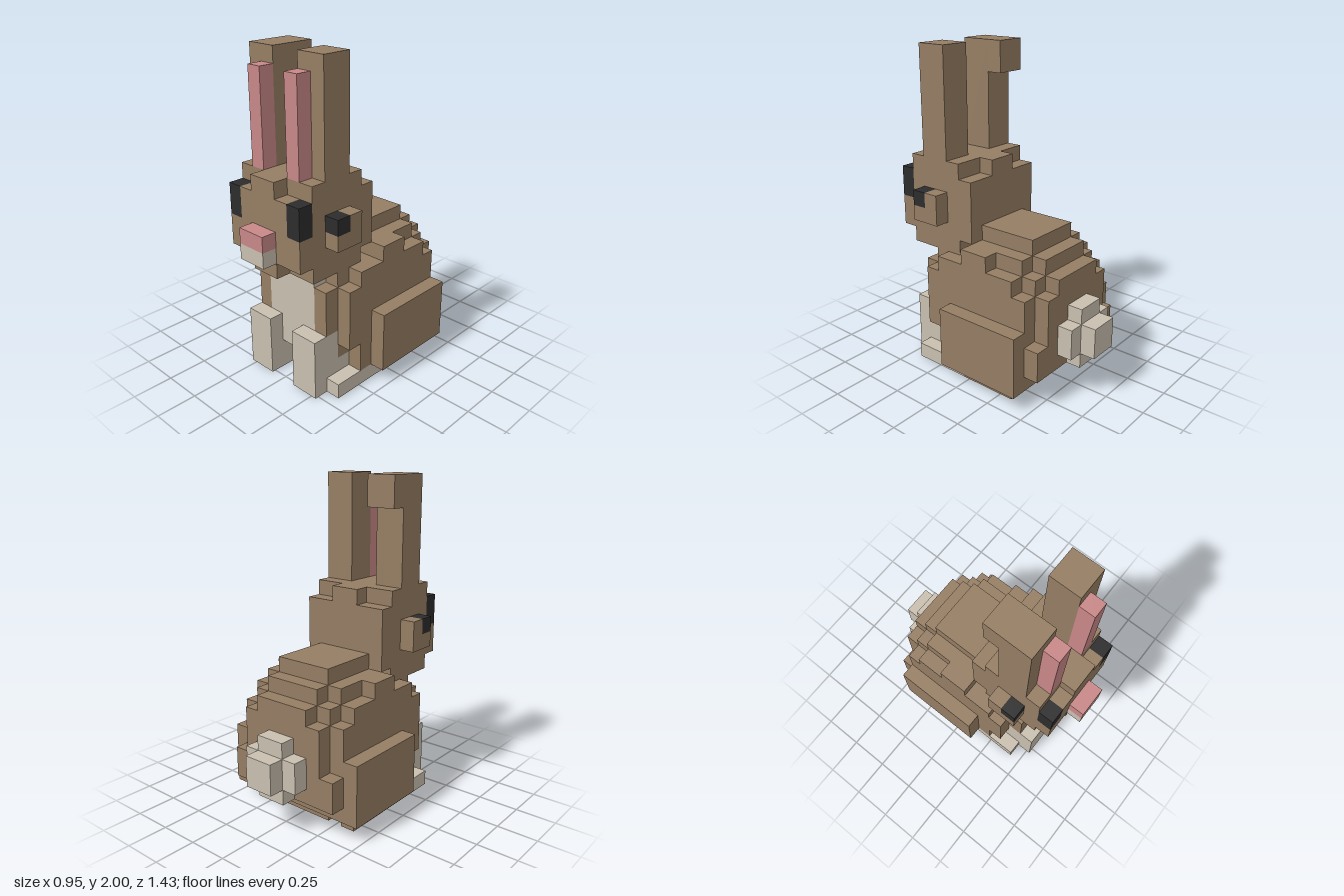
import * as THREE from 'three';

// One block of the grid; the model is 21 blocks tall and 15 deep.
const U = 2 / 21;

function material(name, color) {
  const m = new THREE.MeshStandardMaterial({ color });
  m.name = name;
  return m;
}

export function createModel() {
  const fur = material('brown fur', 0x967e64);
  const cream = material('cream fur', 0xc9c0b0);
  const pink = material('pink skin', 0xc98888);
  const black = material('black eye', 0x2d2d2d);

  const model = new THREE.Group();
  model.name = 'rabbit';

  // Box between block coordinates; z counts from the back (0) to the front (15)
  function box(name, mat, x0, x1, y0, y1, z0, z1) {
    const mesh = new THREE.Mesh(
      new THREE.BoxGeometry((x1 - x0) * U, (y1 - y0) * U, (z1 - z0) * U), mat);
    mesh.position.set((x0 + x1) / 2 * U, (y0 + y1) / 2 * U, ((z0 + z1) / 2 - 7.5) * U);
    mesh.name = name;
    model.add(mesh);
  }
  // Box centred on x = 0
  const mid = (name, mat, half, ...yz) => box(name, mat, -half, half, ...yz);
  // Mirrored pair of boxes
  function pair(name, mat, x0, x1, ...yz) {
    box(name + 'Left', mat, x0, x1, ...yz);
    box(name + 'Right', mat, -x1, -x0, ...yz);
  }

  // Body core, stepped towards the top and the back
  mid('bodyCore', fur, 3, 2, 8, 3, 11);
  mid('bodyBase', fur, 3, 1, 2, 3, 10);
  mid('backTop', fur, 2, 9, 10, 4, 8);
  mid('backUpper', fur, 2, 8, 9, 3, 8);
  pair('backShoulder', fur, 2, 3, 8, 9, 4, 8);
  mid('rump', fur, 2, 2, 8, 2, 3);
  pair('rumpSide', fur, 2, 3, 2, 7, 2, 3);
  pair('rumpCorner', fur, 3, 4, 2, 4, 2, 3);
  mid('belly', fur, 2, 0, 1, 4, 10);

  // Stepped flanks
  pair('flankTop', fur, 3, 4, 8, 9, 6, 8);
  pair('flankUpper', fur, 3, 4, 7, 8, 4, 10);
  pair('flank', fur, 3, 4, 3, 7, 3, 11);
  pair('flankLower', fur, 3, 4, 1, 3, 3, 10);
  pair('haunch', fur, 4, 5, 1, 5, 3, 9);

  // Chest
  mid('chest', cream, 2, 2, 8, 11, 12);
  mid('chestBase', cream, 3, 1, 2, 10, 11);
  pair('chestSide', fur, 2, 3, 4, 7, 11, 12);

  // Legs and feet
  pair('frontLeg', cream, 1, 3, 0, 4, 11, 13);
  pair('hindFoot', cream, 3, 4, 0, 1, 8, 12);
  pair('hindHeel', fur, 3, 4, 0, 1, 4, 8);

  // Tail
  mid('tailUpright', cream, 1, 2, 6, 1, 2);
  pair('tailSide', cream, 1, 2, 3, 5, 1, 2);
  mid('tailTip', cream, 1, 3, 5, 0, 1);

  // Head with notched front and back edges
  mid('head', fur, 3, 8, 14, 9, 13);
  mid('headBack', fur, 3, 9, 13, 8, 9);
  mid('headBackMiddle', fur, 1, 8, 14, 8, 9);
  mid('face', fur, 2, 9, 13, 13, 14);
  mid('faceMiddle', fur, 1, 8, 14, 13, 14);
  pair('faceSide', fur, 2, 3, 9, 11, 13, 14);
  pair('eye', black, 2, 3, 11, 13, 13, 14);
  pair('cheek', fur, 3, 4, 10, 11, 10, 12);
  pair('cheekBack', fur, 3, 4, 11, 12, 10, 11);
  pair('cheekSpot', black, 3, 4, 11, 12, 11, 12);
  mid('nose', pink, 1, 10, 11, 14, 15);
  mid('mouth', cream, 1, 9, 10, 14, 15);

  // Ears, the right one with a bent tip
  pair('ear', fur, 1, 3, 14, 21, 10, 12);
  pair('innerEar', pink, 1, 2, 14, 20, 12, 13);
  box('earTipRight', fur, -3, -1, 19, 21, 9, 10);

  return model;
}
